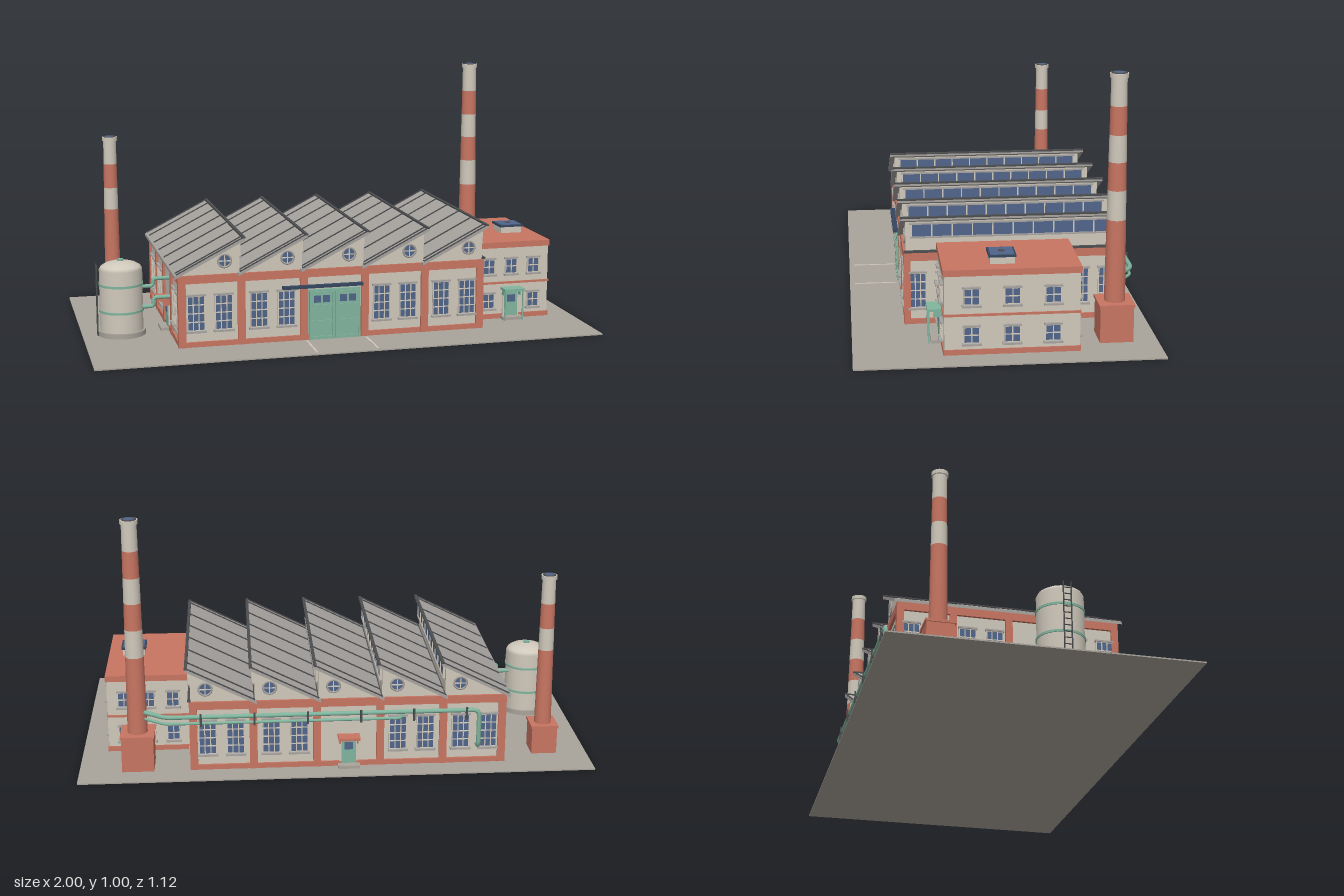
import * as THREE from 'three';

const mat = (name, color, side = THREE.FrontSide) => {
  const m = new THREE.MeshStandardMaterial({ color, side });
  m.name = name;
  return m;
};

export function createModel() {
  const brick = mat('brick', 0xc87562), cream = mat('cream render', 0xcfc8bb), paving = mat('paving', 0xa9a49b);
  const roofing = mat('roof sheet', 0xa7a39f), glass = mat('glass', 0x50658a), green = mat('green paint', 0x80b59e);
  const dark = mat('dark steel', 0x4c4d4f), navy = mat('navy steel', 0x35465f);
  const root = new THREE.Group();
  root.name = 'factory';

  const group = (name, parent = root) => {
    const g = new THREE.Group();
    g.name = name;
    parent.add(g);
    return g;
  };
  const add = (p, name, geo, m, x = 0, y = 0, z = 0) => {
    const o = new THREE.Mesh(geo, m);
    o.name = name;
    o.position.set(x, y, z);
    p.add(o);
    return o;
  };
  // Box given by its size, centre x, base y and centre z
  const box = (p, name, m, w, h, d, x, y, z) => add(p, name, new THREE.BoxGeometry(w, h, d), m, x, y + h / 2, z);
  const cyl = (p, name, m, rTop, rBot, h, x, y, z, n = 24) =>
    add(p, name, new THREE.CylinderGeometry(rTop, rBot, h, n), m, x, y + h / 2, z);
  // Pipe through points with rounded elbows
  const pipe = (p, name, m, r, pts, bend = 0.03) => {
    const v = pts.map(a => new THREE.Vector3(...a)), path = new THREE.CurvePath();
    let from = v[0];
    for (let i = 1; i < v.length - 1; i++) {
      const a = v[i].clone().add(v[i - 1].clone().sub(v[i]).setLength(bend));
      const b = v[i].clone().add(v[i + 1].clone().sub(v[i]).setLength(bend));
      path.add(new THREE.LineCurve3(from, a));
      path.add(new THREE.QuadraticBezierCurve3(a, v[i], b));
      from = b;
    }
    path.add(new THREE.LineCurve3(from, v[v.length - 1]));
    add(p, name, new THREE.TubeGeometry(path, 120, r, 8), m);
  };
  // Wall-mounted group whose local +z points out of the wall
  const mount = (name, p, x, z, ry) => {
    const g = group(name, p);
    g.position.set(x, 0, z);
    g.rotation.y = ry;
    return g;
  };
  const windowUnit = (p, x, y, w, h, cols, rows) => {
    const g = group('window', p);
    g.position.set(x, y, 0);
    box(g, 'pane', glass, w, h, 0.006, 0, 0, 0.002);
    for (let i = 0; i <= cols; i++) box(g, 'mullion', cream, 0.004, h, 0.009, (i / cols - 0.5) * w, 0, 0.003);
    for (let i = 0; i <= rows; i++) box(g, 'glazingBar', cream, w, 0.004, 0.009, 0, (i / rows) * h - 0.002, 0.003);
    box(g, 'lintel', roofing, w + 0.01, 0.007, 0.014, 0, h, 0.004);
    box(g, 'sill', roofing, w + 0.014, 0.007, 0.02, 0, -0.008, 0.006);
  };
  const sideDoor = (p, x, canopyMat) => {
    const g = group('door', p);
    g.position.x = x;
    box(g, 'doorFrame', cream, 0.07, 0.112, 0.008, 0, 0.012, 0.003);
    box(g, 'doorLeaf', green, 0.056, 0.1, 0.012, 0, 0.015, 0.004);
    box(g, 'doorPane', glass, 0.034, 0.03, 0.002, 0, 0.075, 0.011);
    box(g, 'canopy', canopyMat, 0.085, 0.01, 0.055, 0, 0.127, 0.026);
    for (const s of [-1, 1]) box(g, 'canopyBracket', canopyMat, 0.005, 0.025, 0.03, s * 0.034, 0.105, 0.014);
    box(g, 'step', paving, 0.085, 0.013, 0.04, 0, 0.004, 0.02);
  };

  // Yard slab with lane lines
  box(root, 'yard', paving, 2, 0.005, 1.12, 0, 0, 0);
  for (const x of [-0.16, 0.08]) box(root, 'laneLine', cream, 0.008, 0.002, 0.17, x, 0.004, 0.455);

  // Main hall
  const X0 = -0.66, BAY = 0.246, X1 = X0 + 5 * BAY, Z0 = -0.465, Z1 = 0.36, ZC = (Z0 + Z1) / 2, D = Z1 - Z0;
  const hall = group('hall');
  box(hall, 'hallWalls', cream, X1 - X0 - 0.02, 0.28, D - 0.02, (X0 + X1) / 2, 0.003, ZC);
  box(hall, 'plinth', brick, X1 - X0 - 0.004, 0.022, D - 0.004, (X0 + X1) / 2, 0.003, ZC);
  box(hall, 'cornice', brick, X1 - X0, 0.032, D, (X0 + X1) / 2, 0.255, ZC);
  for (let i = 0; i <= 5; i++) {
    const x = Math.min(Math.max(X0 + i * BAY, X0 + 0.015), X1 - 0.015);
    for (const z of [Z0 + 0.012, Z1 - 0.012]) box(hall, 'pilaster', brick, 0.03, 0.27, 0.024, x, 0.003, z);
  }
  for (let i = 0; i <= 4; i++) {
    const z = Math.min(Math.max(Z0 + i * D / 4, Z0 + 0.013), Z1 - 0.013);
    for (const x of [X0 + 0.012, X1 - 0.012]) box(hall, 'sidePilaster', brick, 0.024, 0.27, 0.026, x, 0.003, z);
  }
  const front = mount('frontWall', hall, 0, Z1 - 0.01, 0);
  const back = mount('backWall', hall, 0, Z0 + 0.01, Math.PI);
  const left = mount('endWallTankSide', hall, X0 + 0.01, 0, -Math.PI / 2);
  const right = mount('endWallOfficeSide', hall, X1 - 0.01, 0, Math.PI / 2);
  for (let i = 0; i < 5; i++) {
    const c = X0 + (i + 0.5) * BAY;
    for (const s of [-0.054, 0.054]) {
      if (i !== 2) windowUnit(front, c + s, 0.07, 0.066, 0.135, 3, 4);
      if (i !== 2) windowUnit(back, -c + s, 0.07, 0.066, 0.135, 3, 4);
    }
  }
  for (let i = 0; i < 4; i++) {
    const c = Z0 + (i + 0.5) * D / 4;
    for (const s of [-0.05, 0.05]) {
      if (i !== 2) windowUnit(left, c + s, 0.07, 0.06, 0.135, 3, 4);
      if (i === 0 || i === 3) windowUnit(right, -c + s, 0.07, 0.06, 0.135, 3, 4);
    }
  }
  sideDoor(back, 0.045, brick);
  sideDoor(left, 0.045, brick);

  // Sliding gate
  const gate = group('slidingGate', front);
  gate.position.x = -0.045;
  box(gate, 'gateLeaf', green, 0.206, 0.2, 0.014, 0, 0.005, 0.006);
  for (const s of [-1, 1]) {
    for (const y of [0.012, 0.075, 0.138, 0.19]) box(gate, 'gateRail', green, 0.096, 0.007, 0.02, s * 0.051, y, 0.007);
    for (const k of [0.006, 0.098]) box(gate, 'gateStile', green, 0.007, 0.19, 0.02, s * k, 0.008, 0.007);
    for (const k of [0.034, 0.07]) box(gate, 'gatePane', glass, 0.028, 0.028, 0.003, s * k, 0.153, 0.013);
  }
  box(gate, 'gateTrack', navy, 0.32, 0.011, 0.02, -0.05, 0.215, 0.02);

  // Sawtooth roof: gable prism, sloping sheet, seams and north lights
  const RISE = 0.125, Y0 = 0.285, slope = RISE / BAY, angle = Math.atan(slope);
  const extrude = (pts, depth) => new THREE.ExtrudeGeometry(
    new THREE.Shape(pts.map(p => new THREE.Vector2(...p))), { depth, bevelEnabled: false });
  for (let i = 0; i < 5; i++) {
    const tooth = group('roofTooth', hall);
    tooth.position.set(X0 + i * BAY, Y0, 0);
    add(tooth, 'gable', extrude([[0, 0], [BAY - 0.006, 0], [BAY - 0.006, RISE]], D - 0.016), cream, 0, 0, Z0 + 0.008);
    const a = -0.014, b = BAY + 0.012;
    add(tooth, 'roofSheet', extrude([[a, a * slope], [b, b * slope], [b, b * slope + 0.012], [a, a * slope + 0.012]], D + 0.024),
      roofing, 0, 0, Z0 - 0.012);
    for (const z of [-0.472, -0.4, -0.252, -0.105, 0.042, 0.19, 0.337, 0.367]) {
      const seam = add(tooth, 'roofSeam', new THREE.BoxGeometry(0.29, 0.005, 0.006), dark,
        (a + b) / 2, (a + b) / 2 * slope + 0.0135, z);
      seam.rotation.z = angle;
    }
    box(tooth, 'ridgeCap', dark, 0.012, 0.006, D + 0.026, b - 0.004, b * slope + 0.008, ZC);
    const light = mount('northLight', tooth, BAY - 0.006, ZC, Math.PI / 2);
    box(light, 'lightGlass', glass, D - 0.06, 0.048, 0.006, 0, 0.066, 0.002);
    for (let k = 0; k <= 10; k++) box(light, 'lightMullion', cream, 0.005, 0.048, 0.012, (k / 10 - 0.5) * (D - 0.06), 0.066, 0.003);
    for (const y of [0.06, 0.113]) box(light, 'lightRail', roofing, D - 0.05, 0.006, 0.014, 0, y, 0.004);
    box(light, 'valleyGutter', dark, D, 0.008, 0.012, 0, 0.003, 0.005);
    // Round gable windows
    for (const [z, ry] of [[Z1 - 0.008, 0], [Z0 + 0.008, Math.PI]]) {
      const eye = mount('roundWindow', tooth, 0.182, z, ry);
      eye.position.y = 0.052;
      add(eye, 'roundPane', new THREE.CircleGeometry(0.024, 24), glass, 0, 0, 0.002);
      add(eye, 'roundFrame', new THREE.TorusGeometry(0.025, 0.004, 6, 24), roofing, 0, 0, 0.002);
      box(eye, 'eyeBar', cream, 0.004, 0.048, 0.004, 0, -0.024, 0.003);
      box(eye, 'eyeBar', cream, 0.048, 0.004, 0.004, 0, -0.002, 0.003);
    }
  }

  // Office block
  const office = group('office');
  const OX = 0.735, OZ = -0.013, OW = 0.324, OD = 0.49;
  box(office, 'officeWalls', cream, OW, 0.3, OD, OX, 0.003, OZ);
  box(office, 'officePlinth', brick, OW + 0.008, 0.022, OD + 0.008, OX, 0.003, OZ);
  box(office, 'floorBand', brick, OW + 0.008, 0.009, OD + 0.008, OX, 0.15, OZ);
  box(office, 'parapet', brick, OW + 0.01, 0.024, OD + 0.01, OX, 0.301, OZ);
  const oFront = mount('officeFront', office, OX, OZ + OD / 2, 0);
  const oBack = mount('officeBack', office, OX, OZ - OD / 2, Math.PI);
  const oSide = mount('officeSide', office, OX + OW / 2, OZ, Math.PI / 2);
  for (const y of [0.05, 0.194]) {
    for (const k of [-1, 0, 1]) {
      if (k !== 0 || y > 0.1) windowUnit(oFront, k * 0.096, y, 0.048, 0.06, 2, 2);
      windowUnit(oBack, k * 0.096, y, 0.048, 0.06, 2, 2);
      windowUnit(oSide, k * 0.147, y, 0.056, 0.06, 2, 2);
    }
  }
  sideDoor(oFront, 0, green);
  for (const s of [-1, 1]) box(oFront, 'canopyPost', green, 0.005, 0.122, 0.005, s * 0.037, 0.005, 0.048);
  box(office, 'roofUnit', cream, 0.09, 0.028, 0.09, 0.8, 0.325, 0.018);
  box(office, 'roofUnitLid', navy, 0.1, 0.008, 0.1, 0.8, 0.351, 0.018);
  box(office, 'roofUnitGrille', glass, 0.086, 0.003, 0.086, 0.8, 0.358, 0.018);
  cyl(office, 'fanHub', dark, 0.012, 0.012, 0.003, 0.8, 0.36, 0.018, 16);

  // Banded chimneys, levels listed from the plinth up
  const chimney = (x, z, base, baseH, rBot, rTop, levels) => {
    const g = group('chimney'), n = levels.length - 1, H = levels[n];
    const r = y => rBot + (rTop - rBot) * (y - baseH) / (H - baseH);
    box(g, 'chimneyPlinth', brick, base, baseH - 0.003, base, x, 0.003, z);
    box(g, 'plinthCap', brick, base + 0.008, 0.01, base + 0.008, x, baseH - 0.008, z);
    for (let i = 0; i < n; i++) {
      cyl(g, 'chimneyBand', i % 2 ? cream : brick, r(levels[i + 1]), r(levels[i]), levels[i + 1] - levels[i], x, levels[i], z);
    }
    cyl(g, 'chimneyRim', cream, rTop + 0.005, rTop + 0.005, 0.016, x, H - 0.016, z);
    cyl(g, 'flueRing', dark, rTop, rTop, 0.002, x, H, z);
    cyl(g, 'flue', glass, rTop * 0.68, rTop * 0.68, 0.002, x, H + 0.001, z);
  };
  chimney(0.772, -0.405, 0.124, 0.148, 0.039, 0.029, [0.148, 0.46, 0.57, 0.675, 0.775, 0.88, 0.998]);
  chimney(-0.83, -0.35, 0.1, 0.12, 0.033, 0.026, [0.12, 0.43, 0.52, 0.62, 0.733]);

  // Storage tank with hoops, ladder and feed pipes
  const tank = group('tank'), TX = -0.845, TZ = 0.085;
  cyl(tank, 'tankFoot', paving, 0.094, 0.094, 0.022, TX, 0.003, TZ, 32);
  const profile = [[0.085, 0.02], [0.085, 0.268], [0.078, 0.28], [0.06, 0.291], [0.032, 0.299], [0, 0.302]];
  add(tank, 'tankBody', new THREE.LatheGeometry(profile.map(p => new THREE.Vector2(...p)), 32), cream, TX, 0, TZ);
  for (const y of [0.1, 0.205]) cyl(tank, 'tankHoop', green, 0.088, 0.088, 0.009, TX, y, TZ, 32);
  cyl(tank, 'tankVent', green, 0.012, 0.012, 0.01, TX, 0.298, TZ, 16);
  for (const s of [-1, 1]) box(tank, 'ladderRail', dark, 0.004, 0.285, 0.004, TX - 0.095, 0.005, TZ + s * 0.014);
  for (let i = 0; i < 11; i++) box(tank, 'ladderRung', dark, 0.003, 0.003, 0.028, TX - 0.095, 0.025 + i * 0.024, TZ);
  pipe(tank, 'feedPipe', green, 0.008, [[-0.78, 0.185, 0.06], [-0.715, 0.185, 0.06], [-0.715, 0.215, 0.06], [-0.645, 0.215, 0.06]], 0.014);
  pipe(tank, 'feedPipe', green, 0.008, [[-0.78, 0.115, 0.11], [-0.72, 0.115, 0.11], [-0.72, 0.15, 0.11], [-0.645, 0.15, 0.11]], 0.014);

  // Service pipes along the back wall
  const service = group('servicePipes');
  pipe(service, 'servicePipe', green, 0.009, [[0.76, 0.235, -0.41], [0.66, 0.235, -0.486], [-0.55, 0.235, -0.486], [-0.55, 0.08, -0.486], [-0.55, 0.08, -0.45]], 0.025);
  pipe(service, 'lowerServicePipe', green, 0.006, [[0.76, 0.208, -0.41], [0.66, 0.208, -0.484], [-0.25, 0.208, -0.484], [-0.25, 0.208, -0.45]], 0.02);
  for (let i = 0; i < 6; i++) {
    box(service, 'pipeBracket', dark, 0.008, 0.006, 0.045, -0.5 + i * 0.205, 0.222, -0.475);
    box(service, 'pipeClamp', dark, 0.008, 0.05, 0.006, -0.5 + i * 0.205, 0.2, -0.496);
  }
  return root;
}
